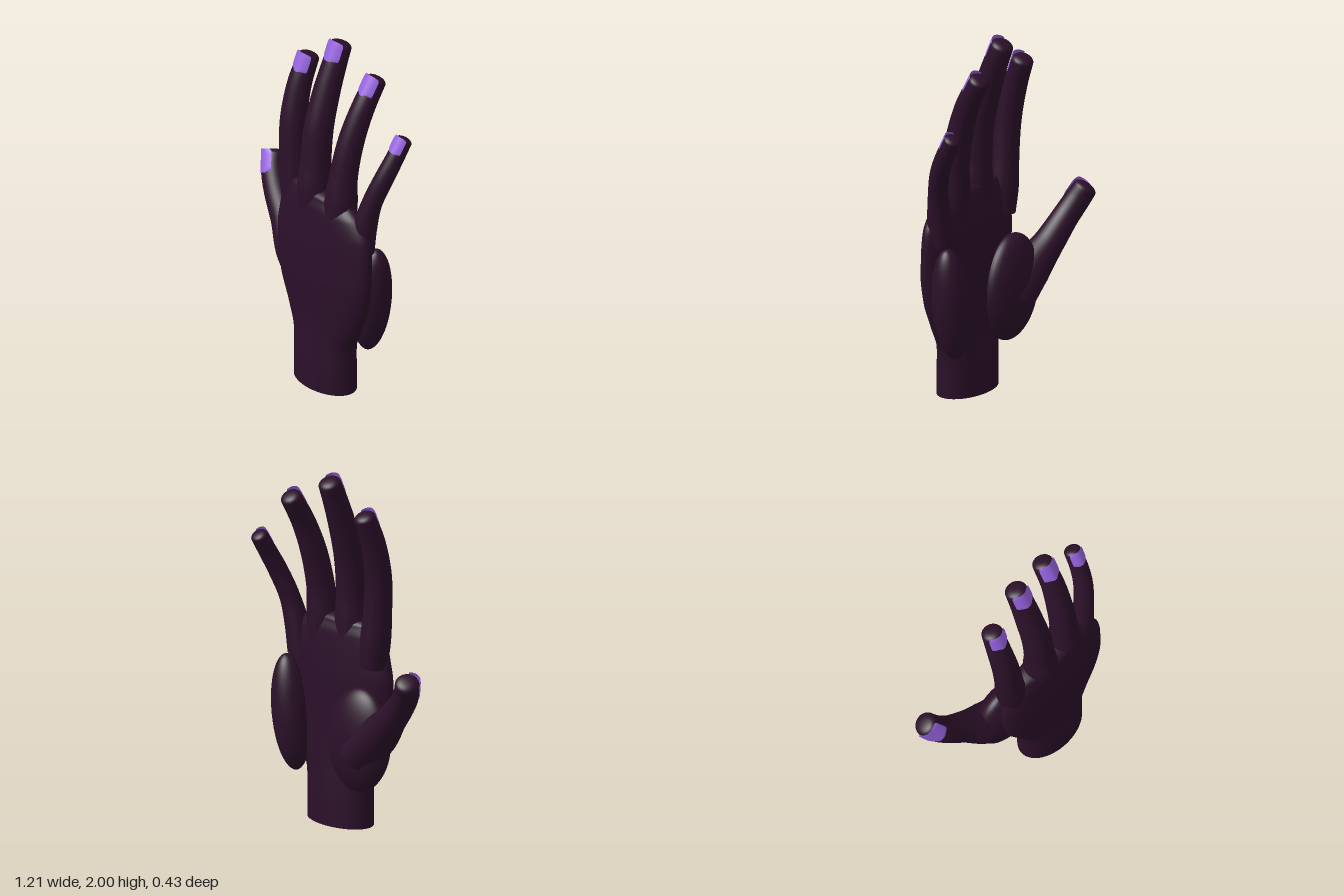
import * as THREE from 'three';

const V = (x, y, z) => new THREE.Vector3(x, y, z);

// Axes across a limb: tangent, side and front (the nail side), rolled about the tangent
function frameAt(tangent, roll = 0) {
  const t = tangent.clone().normalize();
  const s = t.clone().cross(V(0, 0, 1)).normalize();
  const f = s.clone().cross(t);
  const side = s.clone().multiplyScalar(Math.cos(roll)).addScaledVector(f, Math.sin(roll));
  return { t, side, front: side.clone().cross(t) };
}

// Smooth elliptical loft through rows of [x, y, z, sideRadius, frontRadius] with a domed end
function limb(rows, { upright = false, dome = 0.5, steps = 40, sides = 32 } = {}) {
  const path = new THREE.CatmullRomCurve3(rows.map(r => V(r[0], r[1], r[2])));
  const radii = new THREE.CatmullRomCurve3(rows.map(r => V(r[3], r[4] ?? r[3], 0)));
  const up = V(0, 1, 0);
  const rings = [];
  for (let i = 0; i <= steps; i++) {
    const r = radii.getPoint(i / steps);
    rings.push({ c: path.getPoint(i / steps), f: frameAt(upright ? up : path.getTangent(i / steps)), a: r.x, b: r.y });
  }
  const end = rings[steps];
  for (let k = 1; k <= 8; k++) {
    const q = (k / 8) * Math.PI / 2;
    const w = k === 8 ? 0.0001 : Math.pow(Math.cos(q), 0.8);
    rings.push({ c: end.c.clone().addScaledVector(end.f.t, dome * end.b * Math.sin(q)), f: end.f, a: end.a * w, b: end.b * w });
  }
  const pos = [], index = [];
  rings.forEach((r, i) => {
    for (let j = 0; j < sides; j++) {
      const q = (j / sides) * Math.PI * 2;
      const p = r.c.clone().addScaledVector(r.f.side, r.a * Math.cos(q)).addScaledVector(r.f.front, r.b * Math.sin(q));
      pos.push(p.x, p.y, p.z);
      if (i === rings.length - 1) continue;
      const a = i * sides + j, b = i * sides + (j + 1) % sides;
      index.push(a, a + sides, b, b, a + sides, b + sides);
    }
  });
  const g = new THREE.BufferGeometry();
  g.setAttribute('position', new THREE.Float32BufferAttribute(pos, 3));
  g.setIndex(index);
  g.computeVertexNormals();
  return g;
}

// Curved plate with rounded corners, wrapped over the front of a fingertip
function nailPlate(rows, length, roll) {
  const path = new THREE.CatmullRomCurve3(rows.map(r => V(r[0], r[1], r[2])));
  const tip = path.getPoint(1), f = frameAt(path.getTangent(1), roll);
  const r = rows[rows.length - 1][3];
  const g = new THREE.PlaneGeometry(2, 2, 14, 14);
  const p = g.attributes.position;
  for (let i = 0; i < p.count; i++) {
    const u = p.getX(i), v = p.getY(i);
    const along = 0.45 * r - length * (1 - v) / 2 - Math.sign(v) * 0.12 * r * u ** 4 * v * v;
    const q = tip.clone()
      .addScaledVector(f.side, r * 0.98 * u * (1 - 0.14 * v ** 6))
      .addScaledVector(f.t, along)
      .addScaledVector(f.front, r * (1.1 - 0.5 * u * u));
    p.setXYZ(i, q.x, q.y, q.z);
  }
  g.computeVertexNormals();
  return g;
}

export function createModel() {
  const skin = new THREE.MeshStandardMaterial({ color: 0x2b1029 });
  skin.name = 'dark plum skin';
  const polish = new THREE.MeshStandardMaterial({ color: 0x9663e0, side: THREE.DoubleSide });
  polish.name = 'violet nail';

  const hand = new THREE.Group();
  hand.name = 'hand';
  const add = (name, geometry, material = skin, parent = hand) => {
    const m = new THREE.Mesh(geometry, material);
    m.name = name;
    parent.add(m);
    return m;
  };

  // Wrist and palm in one loft
  add('palm', limb([
    [0.16, 0, 0.08, 0.21, 0.13],
    [0.16, 0.14, 0.08, 0.21, 0.128],
    [0.16, 0.27, 0.08, 0.217, 0.12],
    [0.165, 0.4, 0.08, 0.275, 0.112],
    [0.165, 0.55, 0.085, 0.335, 0.112],
    [0.165, 0.7, 0.088, 0.36, 0.112],
    [0.162, 0.85, 0.085, 0.365, 0.108],
    [0.165, 0.98, 0.083, 0.348, 0.1],
    [0.15, 1.08, 0.082, 0.295, 0.09],
    [0.135, 1.13, 0.082, 0.24, 0.075],
  ], { upright: true, steps: 60, sides: 56, dome: 0.5 }));

  // Flat end of the wrist
  add('wristEnd', new THREE.CircleGeometry(1, 56).rotateX(Math.PI / 2).scale(0.21, 1, 0.13).translate(0.16, 0, 0.08));

  // Fleshy pads on the palm side
  const pad = (name, x, y, z, rx, ry, rz, tilt) => {
    const m = add(name, new THREE.SphereGeometry(1, 36, 24).scale(rx, ry, rz));
    m.position.set(x, y, z);
    m.rotation.z = tilt;
  };
  pad('thumbPad', -0.075, 0.53, -0.025, 0.205, 0.295, 0.105, 0.12);
  pad('outerPad', 0.425, 0.57, -0.02, 0.105, 0.32, 0.105, -0.12);

  // Digits: rows of [x, y, z, radius], from base to tip
  const digits = [
    { name: 'thumb', nail: 0.13, roll: 0.28, rows: [
      [-0.08, 0.46, -0.03, 0.12], [-0.22, 0.59, -0.04, 0.112], [-0.34, 0.71, -0.072, 0.085],
      [-0.45, 0.835, -0.1, 0.073], [-0.51, 0.92, -0.13, 0.07], [-0.54, 0.98, -0.158, 0.066]] },
    { name: 'indexFinger', nail: 0.112, rows: [
      [-0.1, 0.93, 0.055, 0.075], [-0.115, 1.08, 0.055, 0.083], [-0.13, 1.25, 0.056, 0.077],
      [-0.143, 1.45, 0.045, 0.073], [-0.147, 1.65, 0, 0.066], [-0.14, 1.795, -0.055, 0.059]] },
    { name: 'middleFinger', nail: 0.118, rows: [
      [0.085, 0.98, 0.08, 0.09], [0.083, 1.15, 0.088, 0.095], [0.081, 1.3, 0.08, 0.083],
      [0.08, 1.5, 0.058, 0.08], [0.079, 1.7, 0.003, 0.074], [0.081, 1.85, -0.05, 0.067], [0.081, 1.945, -0.09, 0.062]] },
    { name: 'ringFinger', nail: 0.122, rows: [
      [0.27, 0.95, 0.075, 0.085], [0.28, 1.12, 0.075, 0.09], [0.288, 1.3, 0.06, 0.076],
      [0.3, 1.5, 0.018, 0.071], [0.316, 1.68, -0.048, 0.064], [0.325, 1.822, -0.128, 0.058]] },
    { name: 'littleFinger', nail: 0.1, rows: [
      [0.42, 0.9, 0.055, 0.075], [0.445, 1.05, 0.045, 0.066], [0.48, 1.2, 0.025, 0.055],
      [0.52, 1.34, -0.018, 0.053], [0.543, 1.45, -0.07, 0.05], [0.555, 1.553, -0.128, 0.047]] },
  ];
  for (const d of digits) {
    const g = new THREE.Group();
    g.name = d.name;
    hand.add(g);
    add(d.name + 'Flesh', limb(d.rows), skin, g);
    add(d.name + 'Nail', nailPlate(d.rows, d.nail, d.roll ?? 0), polish, g);
  }
  return hand;
}
